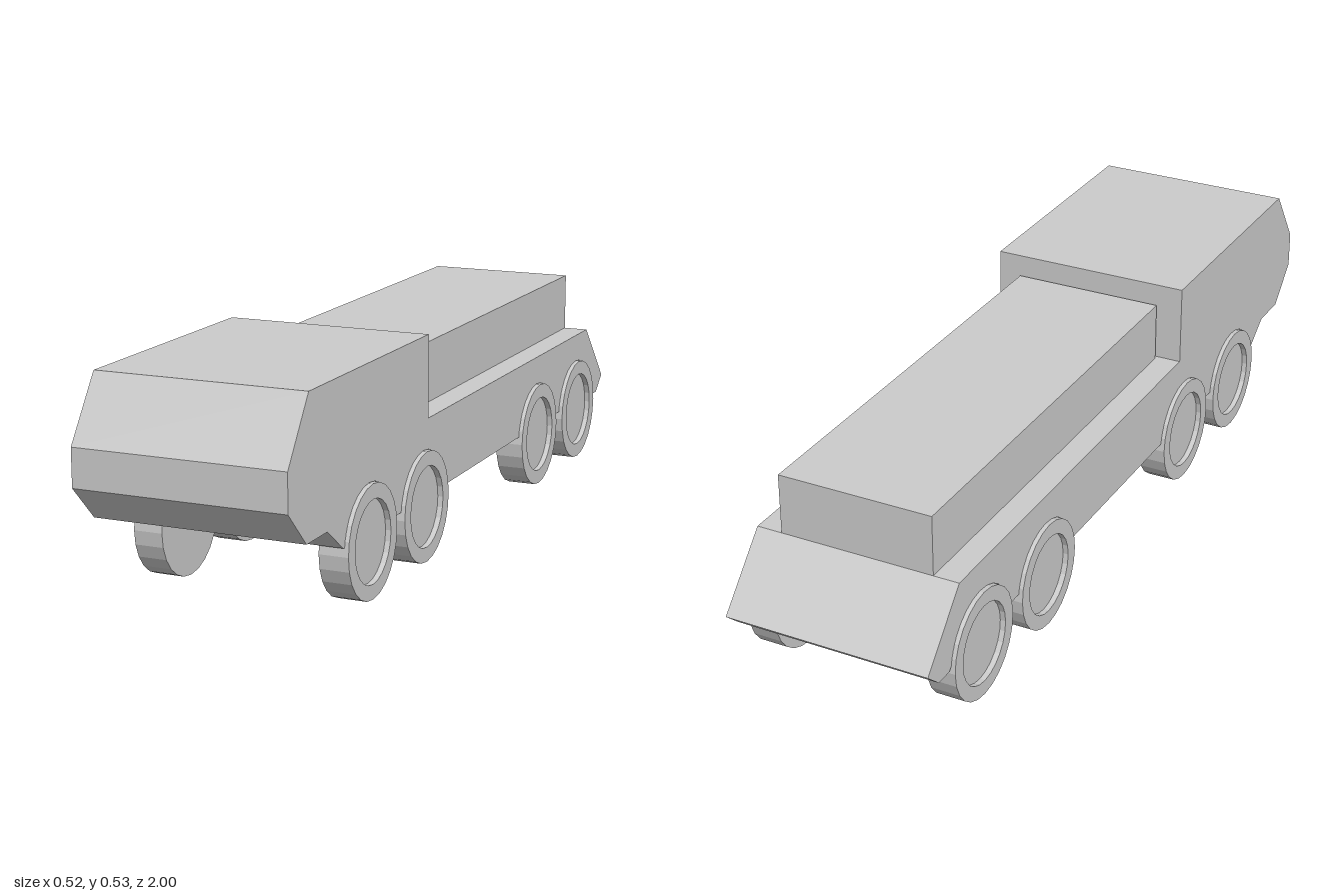
import * as THREE from 'three';

const WHEEL_Z = [0.6, 0.295, -0.465, -0.772];
const WHEEL_R = 0.131, WHEEL_Y = 0.133, ARCH_R = 0.13;

export function createModel() {
  const group = new THREE.Group();
  group.name = 'heavyTruck';
  const material = new THREE.MeshStandardMaterial({ color: 0xcccccc, flatShading: true });

  const add = (name, geometry) => {
    const mesh = new THREE.Mesh(geometry, material);
    mesh.name = name;
    group.add(mesh);
    return mesh;
  };

  // Hull: side profile (z, y) with full-width wheel arches along the belly
  const profile = [
    [-0.91, 0.14], [-0.955, 0.14], [-1, 0.18], [-0.86, 0.333], [0.267, 0.333],
    [0.267, 0.528], [0.9, 0.528], [1, 0.384], [1, 0.295], [0.915, 0.21],
    [0.815, 0.21], [0.735, 0.152],
  ];
  const start = Math.asin((0.15 - WHEEL_Y) / ARCH_R);
  for (const z of WHEEL_Z) {
    for (let i = 0; i <= 12; i++) {
      const a = start + (Math.PI - 2 * start) * i / 12;
      profile.push([z + ARCH_R * Math.cos(a), WHEEL_Y + ARCH_R * Math.sin(a)]);
    }
  }
  const shape = new THREE.Shape(profile.map(([z, y]) => new THREE.Vector2(z, y)));
  const hull = new THREE.ExtrudeGeometry(shape, { depth: 0.5, bevelEnabled: false });
  hull.translate(0, 0, -0.25).rotateY(-Math.PI / 2);
  add('hull', hull);

  // Cargo box on the rear deck
  add('cargoBox', new THREE.BoxGeometry(0.376, 0.146, 1.117)).position.set(0, 0.405, -0.3015);

  // Wheels: flat inner face, recessed hub on the outside
  const wheel = new THREE.LatheGeometry([
    [0, -0.035], [WHEEL_R, -0.035], [WHEEL_R, 0.035], [0.096, 0.035], [0.096, 0.022], [0, 0.022],
  ].map(([r, h]) => new THREE.Vector2(r, h)), 24);
  for (const side of [1, -1]) {
    WHEEL_Z.forEach((z, i) => {
      const mesh = add(`${side > 0 ? 'left' : 'right'}Wheel${i + 1}`, wheel);
      mesh.rotation.z = -side * Math.PI / 2;
      mesh.position.set(side * 0.225, WHEEL_Y - 0.002, z);
    });
  }
  return group;
}
